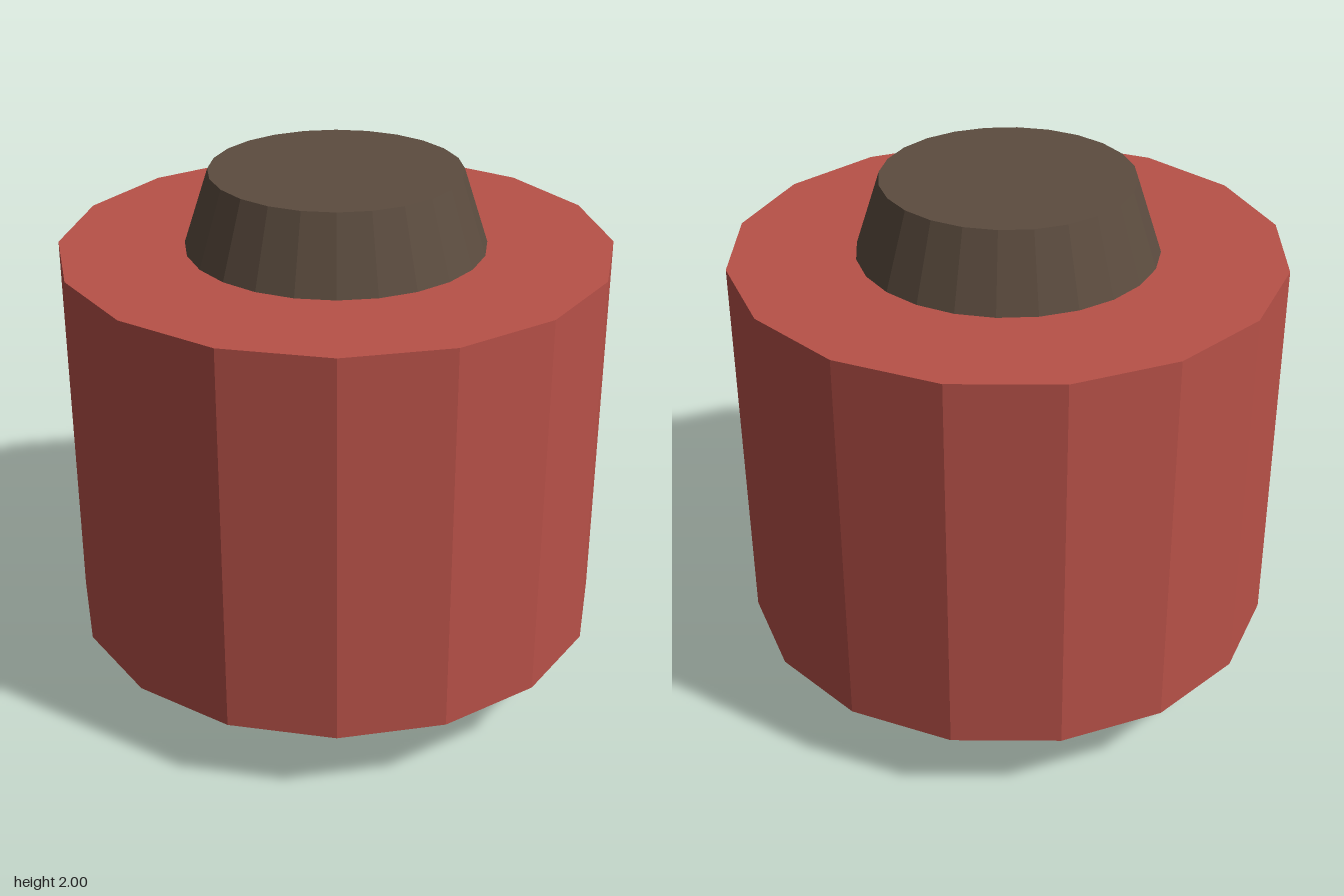
import * as THREE from 'three';

export function createModel() {
  const model = new THREE.Group();
  const red = new THREE.MeshStandardMaterial({ color: 0xb85148 });
  red.name = 'brick red';
  red.flatShading = true;
  const brown = new THREE.MeshStandardMaterial({ color: 0x5c4c3f });
  brown.name = 'dark brown';
  brown.flatShading = true;

  const bottom = 0.275, top = 1.725;

  // Sixteen-sided drum with corners on the axes
  const drum = new THREE.Mesh(new THREE.CylinderGeometry(1, 1, top - bottom, 16), red);
  drum.name = 'drum';
  drum.position.y = 1;
  model.add(drum);

  // Tapered hubs, mirrored above and below
  const hubHeight = 2 - top;
  for (const [name, side] of [['topHub', 1], ['bottomHub', -1]]) {
    const radii = side > 0 ? [0.455, 0.545] : [0.545, 0.455];
    const hub = new THREE.Mesh(new THREE.CylinderGeometry(...radii, hubHeight, 24), brown);
    hub.name = name;
    hub.position.y = 1 + side * (1 - hubHeight / 2);
    model.add(hub);
  }
  return model;
}
